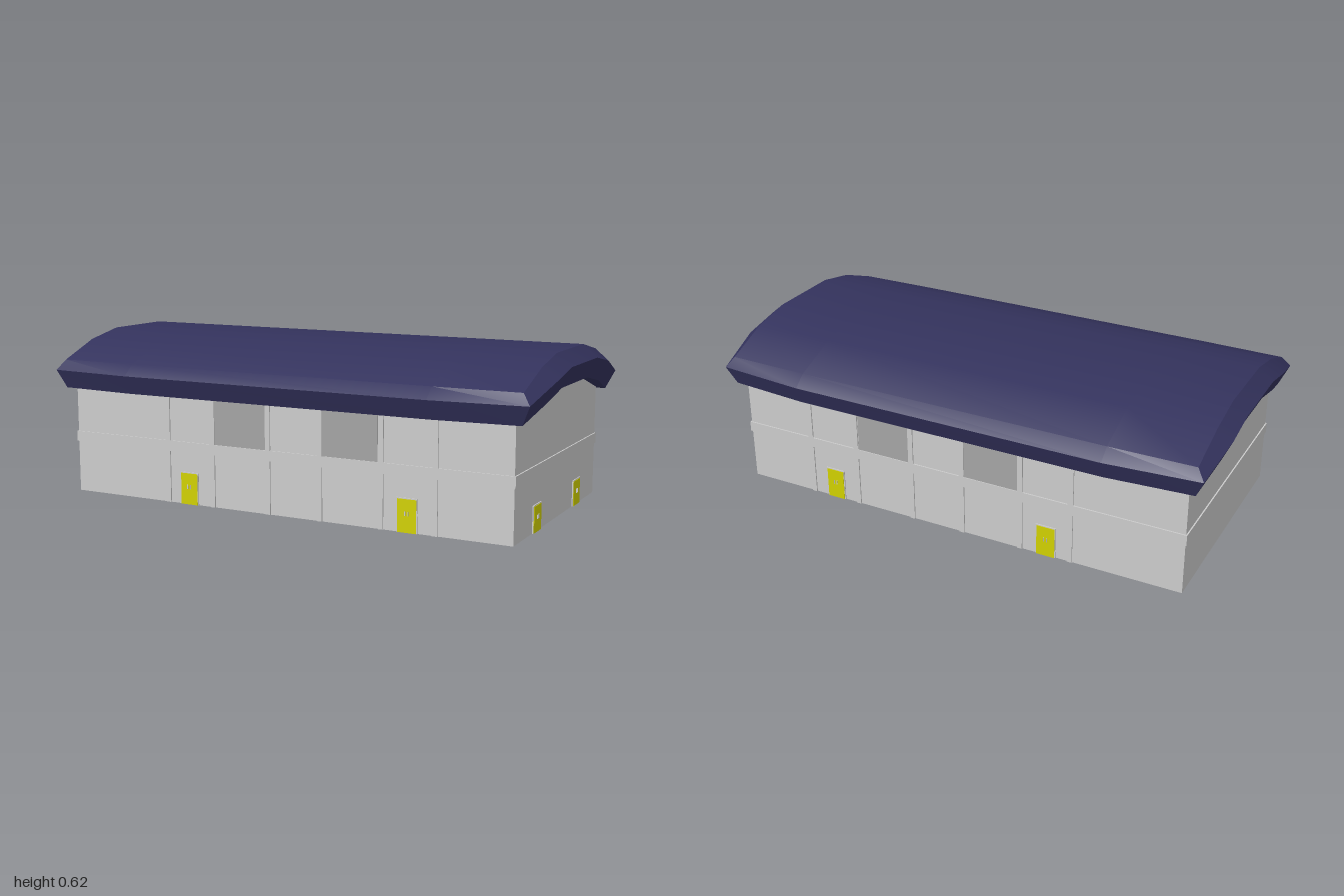
import * as THREE from 'three';
import { toCreasedNormals } from 'three/addons/utils/BufferGeometryUtils.js';

const mat = (color) => new THREE.MeshStandardMaterial({ color });
const wallMat = mat(0xcccccc);
const windowMat = mat(0xa4a4a4);
const doorMat = mat(0xd0d000);
const roofMat = mat(0x33325c);

function box(parent, name, material, w, h, d, x, y, z) {
  const mesh = new THREE.Mesh(new THREE.BoxGeometry(w, h, d), material);
  mesh.name = name;
  mesh.position.set(x, y, z);
  parent.add(mesh);
  return mesh;
}

// Roof layers: z and y across the span, end x and extra eave bulge along the length
const LAYERS = {
  top: { z: [0.15, 0.31, 0.48], y: [0.622, 0.59, 0.525], x: [0.945, 0.945, 0.942], bulge: 0.005 },
  rim: { z: [0.15, 0.3, 0.503], y: [0.575, 0.547, 0.485], x: [1, 1, 0.972], bulge: 0.03 },
  base: { z: [0.15, 0.3, 0.48], y: [0.5, 0.47, 0.415], x: [0.965, 0.965, 0.94], bulge: 0.025 },
};

// Point of a layer: i = 0..3 along x, j = 0..5 along z
function roofPoint(layer, i, j) {
  const k = j < 3 ? 2 - j : j - 3;
  const sideZ = j < 3 ? -1 : 1;
  const middle = i === 1 || i === 2;
  const x = (i < 2 ? -1 : 1) * (middle ? 0.62 : layer.x[k]);
  const z = sideZ * (layer.z[k] + (middle && k === 2 ? layer.bulge : 0));
  return [x, layer.y[k], z];
}

function roofGeometry() {
  const pos = [];
  const quad = (a, b, c, d) => pos.push(...a, ...b, ...c, ...a, ...c, ...d);
  const { top, rim, base } = LAYERS;
  // Curved top skin and underside
  for (let i = 0; i < 3; i++) {
    for (let j = 0; j < 5; j++) {
      const corners = [[i, j], [i, j + 1], [i + 1, j + 1], [i + 1, j]];
      quad(...corners.map(([a, b]) => roofPoint(top, a, b)));
      quad(...corners.reverse().map(([a, b]) => roofPoint(base, a, b)));
    }
  }
  // Bevelled fascia all the way round
  const ring = [];
  for (let j = 0; j < 5; j++) ring.push([0, j]);
  for (let i = 0; i < 3; i++) ring.push([i, 5]);
  for (let j = 5; j > 0; j--) ring.push([3, j]);
  for (let i = 3; i > 0; i--) ring.push([i, 0]);
  for (const [upper, lower] of [[top, rim], [rim, base]]) {
    ring.forEach((p, n) => {
      const q = ring[(n + 1) % ring.length];
      quad(roofPoint(upper, ...p), roofPoint(lower, ...p), roofPoint(lower, ...q), roofPoint(upper, ...q));
    });
  }
  const geo = new THREE.BufferGeometry();
  geo.setAttribute('position', new THREE.Float32BufferAttribute(pos, 3));
  return toCreasedNormals(geo, 0.5);
}

// Door with frame and twin handles, facing +z at the local origin
function makeDoor(w, h) {
  const door = new THREE.Group();
  door.name = 'door';
  box(door, 'doorFrame', wallMat, w + 0.008, h + 0.004, 0.006, 0, h / 2 + 0.002, 0);
  box(door, 'doorPanel', doorMat, w, h, 0.008, 0, h / 2, 0.001);
  for (const s of [-1, 1]) box(door, 'doorHandle', wallMat, 0.003, 0.016, 0.004, s * 0.006, h * 0.57, 0.006);
  return door;
}

export function createModel() {
  const model = new THREE.Group();
  model.name = 'hall';

  // Main body, its gables following the underside of the roof
  const shape = new THREE.Shape();
  [[-0.455, 0], [0.455, 0], [0.455, 0.425], [0.3, 0.473], [0.15, 0.503],
    [-0.15, 0.503], [-0.3, 0.473], [-0.455, 0.425]].forEach(([x, y], n) => (n ? shape.lineTo(x, y) : shape.moveTo(x, y)));
  const bodyGeo = new THREE.ExtrudeGeometry(shape, { depth: 1.82, bevelEnabled: false });
  bodyGeo.translate(0, 0, -0.91).rotateY(Math.PI / 2);
  const body = new THREE.Mesh(bodyGeo, wallMat);
  body.name = 'walls';
  model.add(body);

  // Band around the building
  box(model, 'wallBand', wallMat, 1.83, 0.04, 0.92, 0, 0.22, 0);

  // Long sides: pilasters, windows and doors
  for (const s of [-1, 1]) {
    for (const x of [-0.48, -0.28, -0.04, 0.175, 0.418, 0.625]) {
      box(model, 'pilaster', wallMat, 0.02, 0.42, 0.01, x, 0.21, s * 0.455);
    }
    for (const x of [-0.16, 0.295]) {
      box(model, 'window', windowMat, 0.22, 0.18, 0.006, x, 0.33, s * 0.454);
    }
    for (const x of [-0.385, 0.52]) {
      const door = makeDoor(0.072, 0.12);
      door.position.set(x, 0, s * 0.456);
      if (s < 0) door.rotation.y = Math.PI;
      model.add(door);
    }
  }

  // Two doors on the left end
  for (const z of [-0.226, 0.226]) {
    const door = makeDoor(0.075, 0.095);
    door.position.set(0.911, 0, z);
    door.rotation.y = Math.PI / 2;
    model.add(door);
  }

  const roof = new THREE.Mesh(roofGeometry(), roofMat);
  roof.name = 'roof';
  model.add(roof);
  return model;
}
